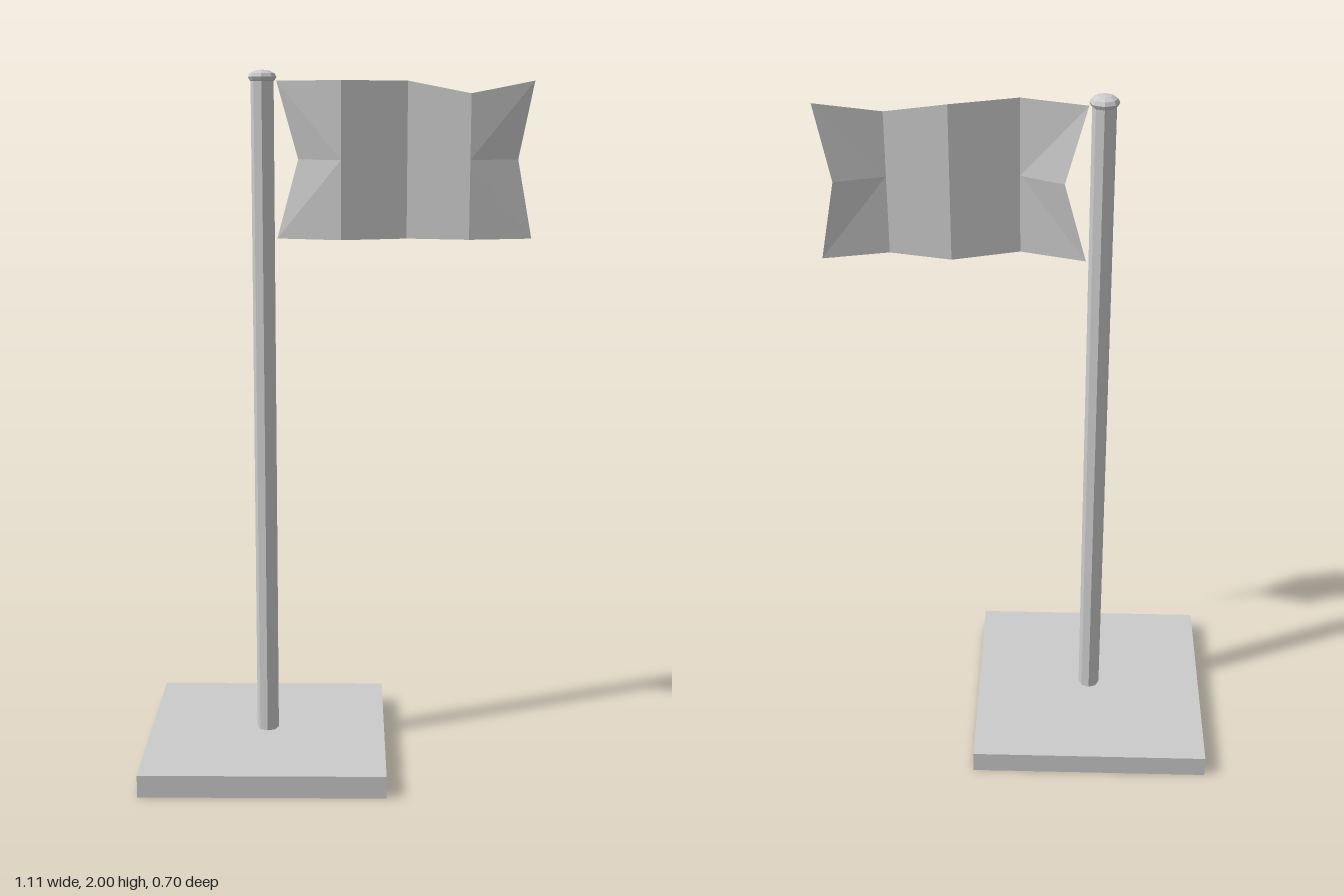
import * as THREE from 'three';

const POLE_X = -0.204;

export function createModel() {
  const model = new THREE.Group();
  const material = new THREE.MeshStandardMaterial({ color: 0xcccccc, flatShading: true });
  const clothMaterial = new THREE.MeshStandardMaterial({
    color: 0xcccccc, flatShading: true, side: THREE.DoubleSide,
  });

  const add = (name, geometry, x, y, mat = material) => {
    const mesh = new THREE.Mesh(geometry, mat);
    mesh.name = name;
    mesh.position.set(x, y, 0);
    model.add(mesh);
    return mesh;
  };

  // Square base slab
  add('base', new THREE.BoxGeometry(0.7, 0.065, 0.7), POLE_X, 0.0325);

  // Eight-sided pole
  add('pole', new THREE.CylinderGeometry(0.032, 0.032, 1.92, 8), POLE_X, 1.02);

  // Flattened ball on the pole top
  add('finial', new THREE.SphereGeometry(0.04, 8, 6).scale(1, 0.5, 1), POLE_X, 1.98);

  add('flag', flagGeometry(), 0, 0, clothMaterial);
  return model;
}

// Rippled cloth with notched ends: three rows of points joined column by column
function flagGeometry() {
  const bottom = 1.535, middle = 1.755;
  const columns = [
    // edge x, middle-row x, z, top y
    [-0.165, -0.105, 0, 1.97],
    [0.015, 0.015, 0.06, 1.97],
    [0.2, 0.2, 0, 1.97],
    [0.373, 0.373, 0.043, 1.935],
    [0.552, 0.51, -0.002, 1.97],
  ];
  const positions = [], indices = [];
  for (const [x, midX, z, top] of columns) {
    positions.push(x, bottom, z, midX, middle, z, x, top, z);
  }
  for (let c = 0; c < columns.length - 1; c++) {
    const a = c * 3, b = a + 3;
    // both diagonals meet the middle row on the notched side
    const first = c < 2;
    for (const [edge, flip] of [[0, false], [2, true]]) {
      const tris = first
        ? [[a + edge, b + edge, b + 1], [a + edge, b + 1, a + 1]]
        : [[a + edge, b + edge, a + 1], [b + edge, b + 1, a + 1]];
      for (const [p, q, r] of tris) indices.push(...(flip ? [p, r, q] : [p, q, r]));
    }
  }
  const geometry = new THREE.BufferGeometry();
  geometry.setAttribute('position', new THREE.Float32BufferAttribute(positions, 3));
  geometry.setIndex(indices);
  geometry.computeVertexNormals();
  return geometry;
}
